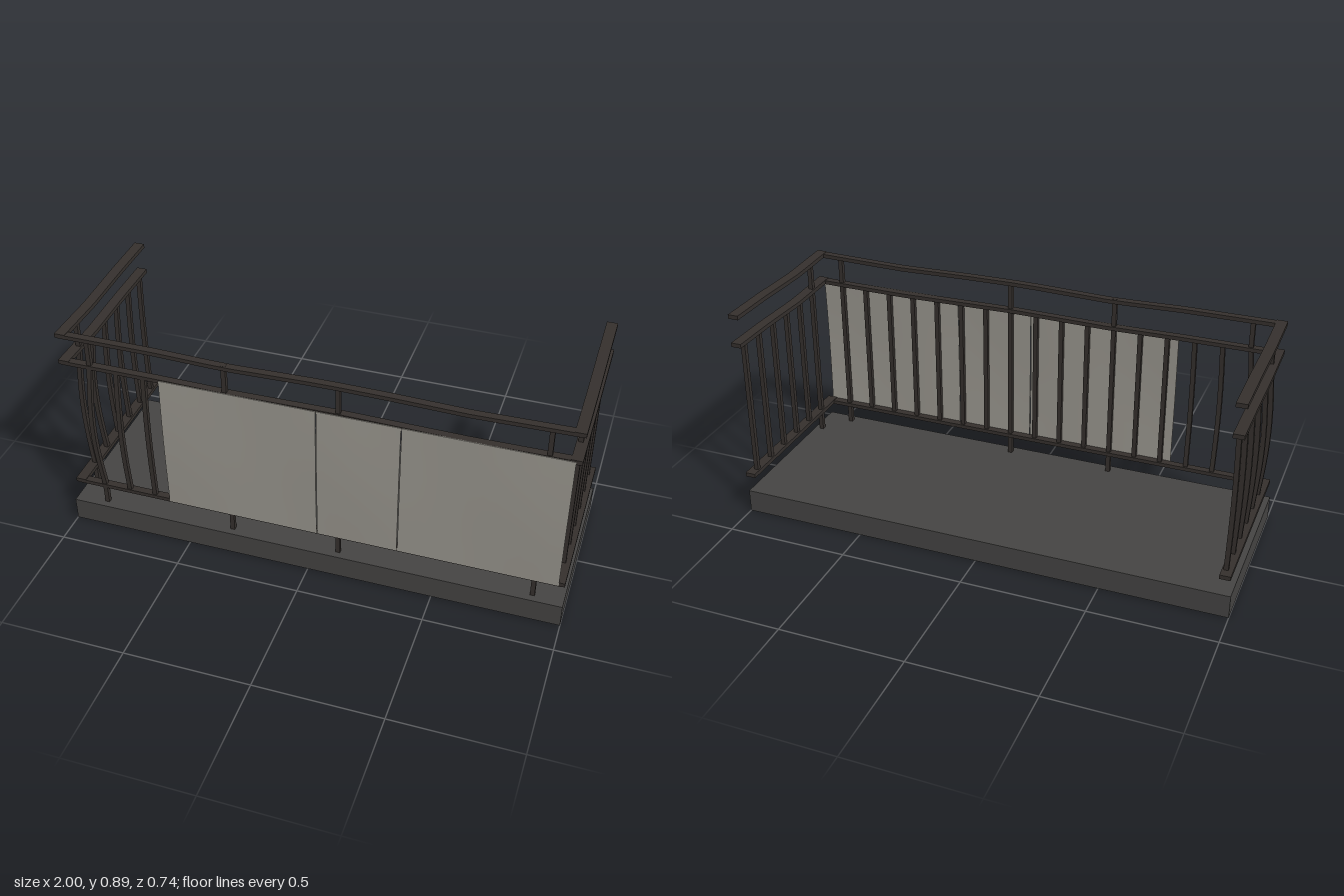
import * as THREE from 'three';

const metal = new THREE.MeshStandardMaterial({ color: 0x35302d });
const concrete = new THREE.MeshStandardMaterial({ color: 0x454443 });
const sheet = new THREE.MeshStandardMaterial({ color: 0x9a978f, side: THREE.DoubleSide });

const RAIL = { low: 0.183, mid: 0.762, top: 0.881 };
const SLAB_TOP = 0.095;
const BAR = 0.018;
const FRONT_Z = 0.331;
const SIDE_X = 0.975;

// Move every vertex of a geometry by a rule
function deform(geometry, rule) {
  const p = geometry.attributes.position;
  const v = new THREE.Vector3();
  for (let i = 0; i < p.count; i++) {
    rule(v.fromBufferAttribute(p, i));
    p.setXYZ(i, v.x, v.y, v.z);
  }
  geometry.computeVertexNormals();
  return geometry;
}

// Piecewise-linear curve through [position, value] points
function polyline(points, t) {
  for (let i = 1; i < points.length; i++) {
    const [a, va] = points[i - 1];
    const [b, vb] = points[i];
    if (t <= b) return THREE.MathUtils.lerp(va, vb, THREE.MathUtils.clamp((t - a) / (b - a), 0, 1));
  }
  return points[points.length - 1][1];
}

function add(parent, name, geometry, material) {
  const mesh = new THREE.Mesh(geometry, material);
  mesh.name = name;
  parent.add(mesh);
  return mesh;
}

// Upright bar, bowed by (bx, bz) between the lower and middle rails
function upright(parent, isPost, x, z, bx, bz) {
  const y0 = isPost ? SLAB_TOP - 0.005 : RAIL.low;
  const y1 = isPost ? RAIL.top : RAIL.mid;
  const g = new THREE.BoxGeometry(BAR, y1 - y0, BAR, 1, bx || bz ? 14 : 1, 1);
  g.translate(x, (y0 + y1) / 2, z);
  deform(g, v => {
    const t = THREE.MathUtils.clamp((v.y - RAIL.low) / (RAIL.mid - RAIL.low), 0, 1);
    const bow = Math.sin(Math.PI * t);
    v.x += bx * bow;
    v.z += bz * bow;
  });
  add(parent, isPost ? 'post' : 'baluster', g, metal);
}

export function createModel() {
  const model = new THREE.Group();

  // Floor slab
  add(model, 'floorSlab', new THREE.BoxGeometry(2, SLAB_TOP, 0.72), concrete)
    .position.set(0, SLAB_TOP / 2, 0.01);

  // Front railing: three rails, the upper two slightly dented
  const front = new THREE.Group();
  front.name = 'frontRailing';
  model.add(front);
  const dents = {
    low: [[-1, 0], [1, 0]],
    mid: [[-1, 0], [-0.6, 0], [-0.3, -0.004], [0.1, 0.002], [0.6, -0.005], [1, 0]],
    top: [[-1, 0], [-0.6, 0], [-0.32, -0.008], [0.05, 0.002], [0.3, 0], [0.6, -0.007], [1, 0.001]],
  };
  for (const key of Object.keys(RAIL)) {
    const g = new THREE.BoxGeometry(1.97, 0.016, 0.03, 20, 1, 1);
    g.translate(0, RAIL[key] - 0.002, FRONT_Z);
    add(front, key + 'FrontRail', deform(g, v => { v.y += polyline(dents[key], v.x); }), metal);
  }

  // Front uprights: some are full posts, the ones at the right end are bent
  const posts = [0, 5, 9, 16];
  const bowX = [-0.013, -0.005, -0.002];
  const bowZ = [0.018, 0.012, 0.006];
  for (let i = 0; i <= 16; i++) {
    upright(front, posts.includes(i), -0.87 + i * 0.1094, FRONT_Z + 0.002, bowX[i] || 0, bowZ[i] || 0);
  }

  // Side railings; the right one has bars bowed outward
  for (const s of [-1, 1]) {
    const side = new THREE.Group();
    side.name = s < 0 ? 'rightRailing' : 'leftRailing';
    model.add(side);
    const sag = [[-0.37, 0.003], [-0.15, 0.001], [0.1, -0.008], [0.35, 0]];
    for (const key of Object.keys(RAIL)) {
      const g = new THREE.BoxGeometry(0.042, 0.017, 0.712, 1, 1, 14);
      g.translate(s * SIDE_X, RAIL[key], -0.01);
      add(side, key + 'SideRail', deform(g, v => {
        if (key !== 'low') v.y += polyline(sag, v.z);
      }), metal);
    }
    for (let i = 0; i < 6; i++) {
      const bend = s < 0 ? 1 - i * 0.15 : 0;
      upright(side, i === 0, s * 0.969, 0.225 - i * 0.109, -0.018 * bend, i === 1 ? 0.012 * bend : 0);
    }
  }

  // Privacy sheets on the front face, gently bulged
  const panels = new THREE.Group();
  panels.name = 'frontPanels';
  model.add(panels);
  const edges = [-0.585, 0.033, 0.353, 0.975];
  for (let i = 0; i < 3; i++) {
    const w = edges[i + 1] - edges[i] - 0.003;
    const g = new THREE.BoxGeometry(w, 0.586, 0.003, 12, 8, 1);
    g.translate((edges[i] + edges[i + 1]) / 2, 0.471, 0.3475);
    deform(g, v => {
      const bow = Math.sin(Math.PI * (v.y - 0.178) / 0.586);
      v.z += 0.003 * bow * (1 + Math.sin(v.x * 9));
    });
    add(panels, 'panel', g, sheet);
  }
  return model;
}
